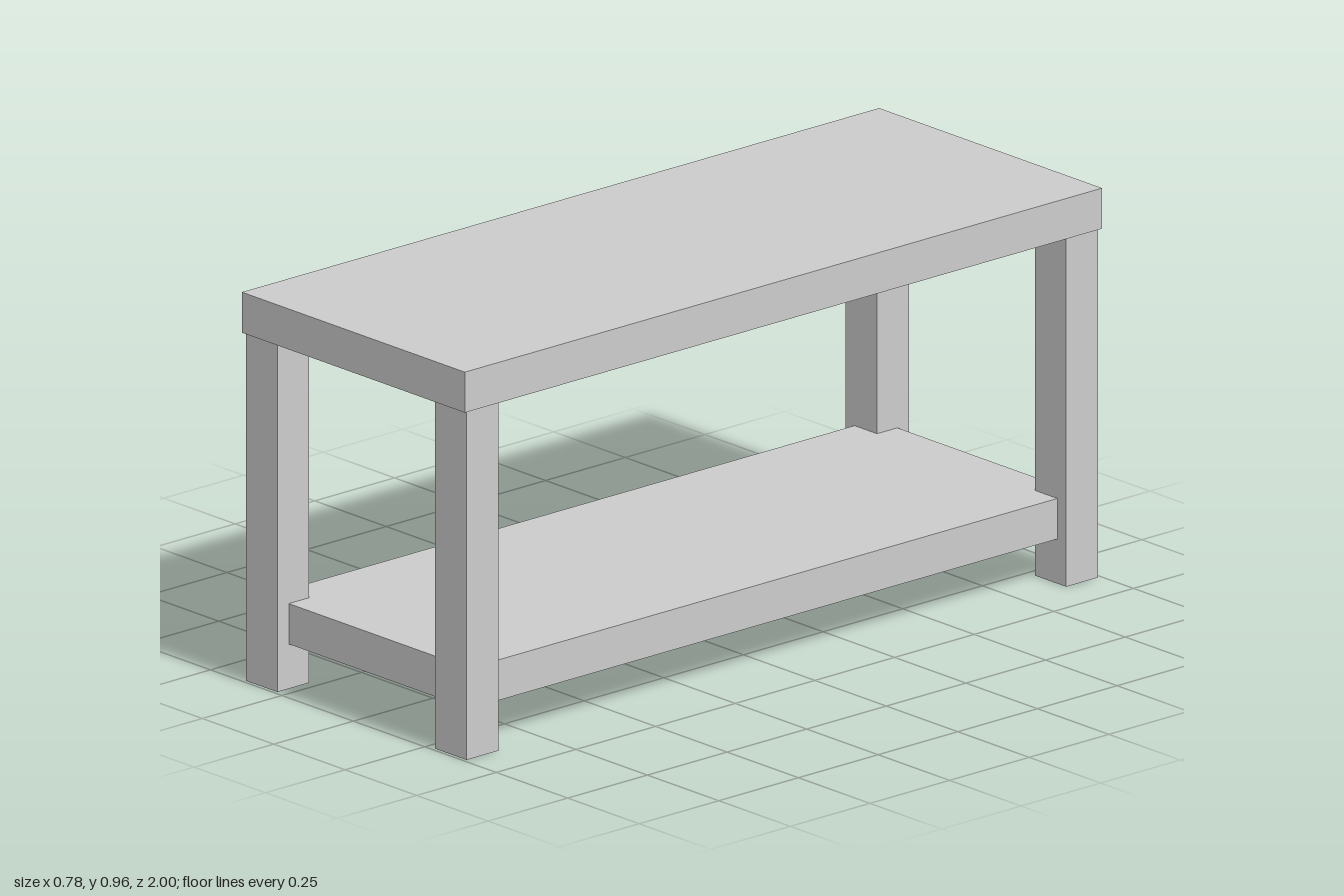
import * as THREE from 'three';

const material = new THREE.MeshStandardMaterial({ color: 0xcccccc, flatShading: true });

// Box standing on height y0
function addBox(group, name, [w, h, d], [x, y0, z]) {
  const mesh = new THREE.Mesh(new THREE.BoxGeometry(w, h, d), material);
  mesh.name = name;
  mesh.position.set(x, y0 + h / 2, z);
  group.add(mesh);
}

export function createModel() {
  const table = new THREE.Group();
  table.name = 'table';

  // Top slab, slightly overhanging the legs
  addBox(table, 'tableTop', [0.78, 0.1, 2], [0, 0.86, 0]);

  // Lower shelf, its corners let into the legs
  addBox(table, 'lowerShelf', [0.71, 0.1, 1.91], [0, 0.11, 0]);

  // Four corner legs
  for (const [sideName, sx] of [['Left', 1], ['Right', -1]]) {
    for (const [endName, sz] of [['front', 1], ['back', -1]]) {
      addBox(table, `${endName}${sideName}Leg`, [0.11, 0.86, 0.1], [sx * 0.331, 0, sz * 0.941]);
    }
  }
  return table;
}
